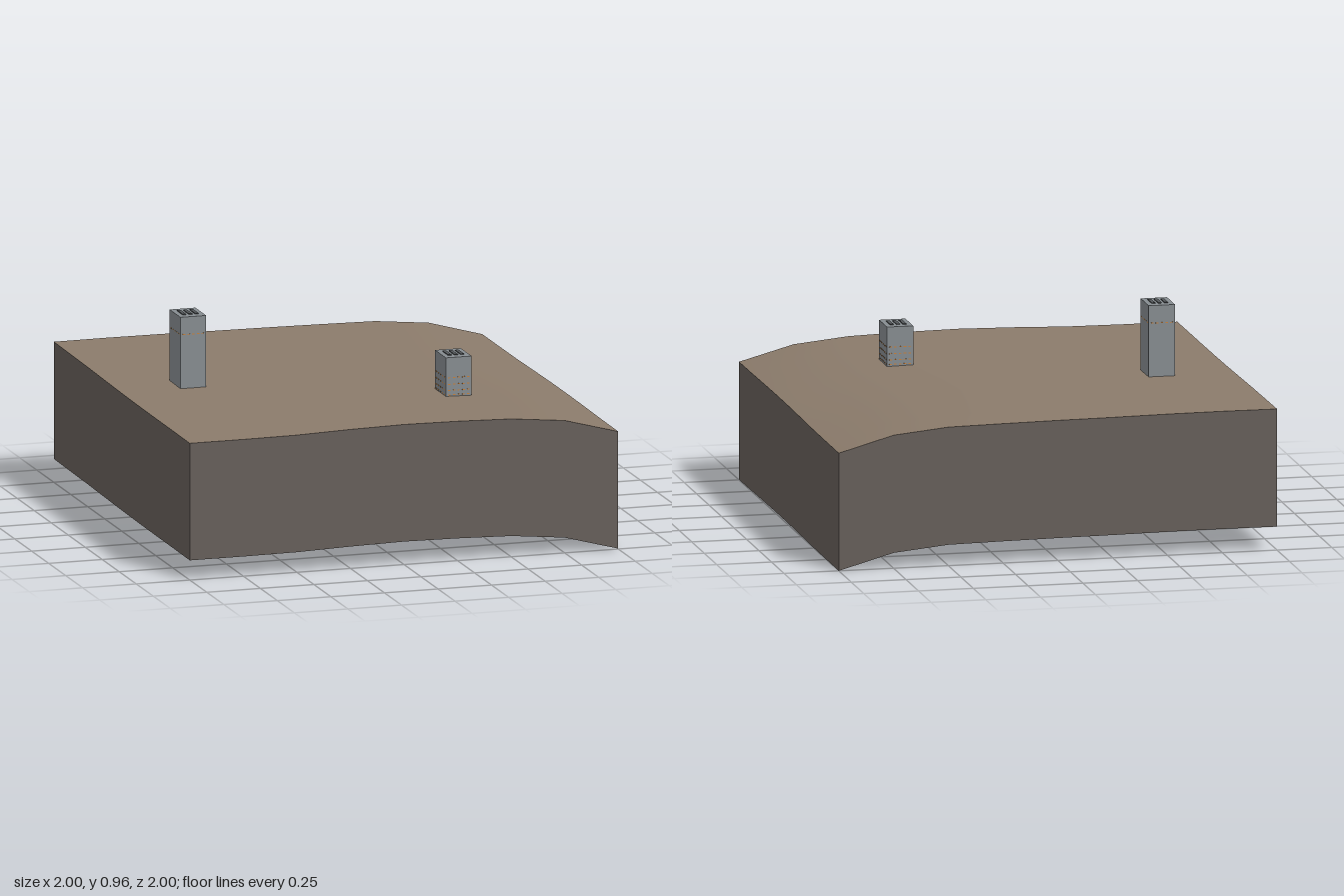
import * as THREE from 'three';

const material = (name, color, side = THREE.FrontSide) => {
  const m = new THREE.MeshStandardMaterial({ color, side });
  m.name = name;
  return m;
};

// Ground height: front and back profiles along x, blended along z
const STEPS = [-1, -0.75, -0.5, -0.25, 0, 0.25, 0.5, 0.75, 1];
const FRONT = [0.625, 0.625, 0.627, 0.635, 0.64, 0.637, 0.63, 0.605, 0.537];
const BACK = [0.642, 0.643, 0.642, 0.639, 0.637, 0.634, 0.63, 0.605, 0.535];
const DEPTH = 0.535;

function profile(values, x) {
  const i = Math.min(7, Math.max(0, Math.floor((x + 1) * 4)));
  return THREE.MathUtils.lerp(values[i], values[i + 1], (x - STEPS[i]) * 4);
}

function groundHeight(x, z) {
  const base = THREE.MathUtils.lerp(profile(BACK, x), profile(FRONT, x), (z + 1) / 2);
  const swell = Math.max(0, Math.cos((z - 0.25) * 2)) * (1 - z * z);
  return base + swell * (x > 0.9 ? 0.006 : -0.004);
}

export function createModel() {
  const soil = material('soil', 0x8b7b6b, THREE.DoubleSide);
  const earth = material('earth wall', 0x665f5a, THREE.DoubleSide);
  const concrete = material('concrete', 0x868c90);
  const dark = material('dark vent', 0x54585b);
  const orange = material('orange light', 0xc8823c);

  const model = new THREE.Group();
  model.name = 'terrainBlock';
  const add = (parent, name, geometry, mat, x = 0, y = 0, z = 0) => {
    const mesh = new THREE.Mesh(geometry, mat);
    mesh.name = name;
    mesh.position.set(x, y, z);
    parent.add(mesh);
    return mesh;
  };

  // Gently rolling top surface
  const top = new THREE.PlaneGeometry(2, 2, 8, 8).rotateX(-Math.PI / 2);
  const tp = top.attributes.position;
  for (let i = 0; i < tp.count; i++) tp.setY(i, groundHeight(tp.getX(i), tp.getZ(i)));
  top.computeVertexNormals();
  add(model, 'groundSurface', top, soil);

  // Skirt walls follow the ground edge and leave the underside open
  ['frontWall', 'leftWall', 'backWall', 'rightWall'].forEach((name, k) => {
    const wall = new THREE.PlaneGeometry(2, DEPTH, 8, 1).translate(0, 0, 1).rotateY(k * Math.PI / 2);
    const p = wall.attributes.position;
    for (let i = 0; i < p.count; i++) {
      const h = groundHeight(
        THREE.MathUtils.clamp(p.getX(i), -1, 1), THREE.MathUtils.clamp(p.getZ(i), -1, 1));
      p.setY(i, p.getY(i) > 0 ? h : h - DEPTH);
    }
    add(model, name, wall, earth);
  });

  // Towers with roof vents and rows of small lights
  const W = 0.12, D = 0.16;
  function tower(name, x, z, topY, rows) {
    const group = new THREE.Group();
    group.name = name;
    group.position.set(x, 0, z);
    const bottom = 0.625;
    add(group, 'towerBody', new THREE.BoxGeometry(W, topY - bottom, D), concrete, 0, (topY + bottom) / 2, 0);
    for (const vx of [-0.029, 0, 0.029]) {
      add(group, 'roofVent', new THREE.BoxGeometry(0.016, 0.006, 0.082), dark, vx, topY + 0.001, 0);
    }
    for (const y of rows) {
      for (const side of [-1, 1]) {
        for (let i = -2; i <= 2; i++) {
          add(group, 'light', new THREE.BoxGeometry(0.012, 0.004, 0.002), orange, i * 0.022, y, side * D / 2);
          add(group, 'light', new THREE.BoxGeometry(0.002, 0.004, 0.014), orange, side * W / 2, y, i * 0.03);
        }
      }
    }
    model.add(group);
  }
  tower('tallTower', -0.665, -0.083, 0.957, [0.877]);
  tower('shortTower', 0.415, 0.418, 0.807, [0.715, 0.685, 0.657, 0.637]);

  return model;
}
